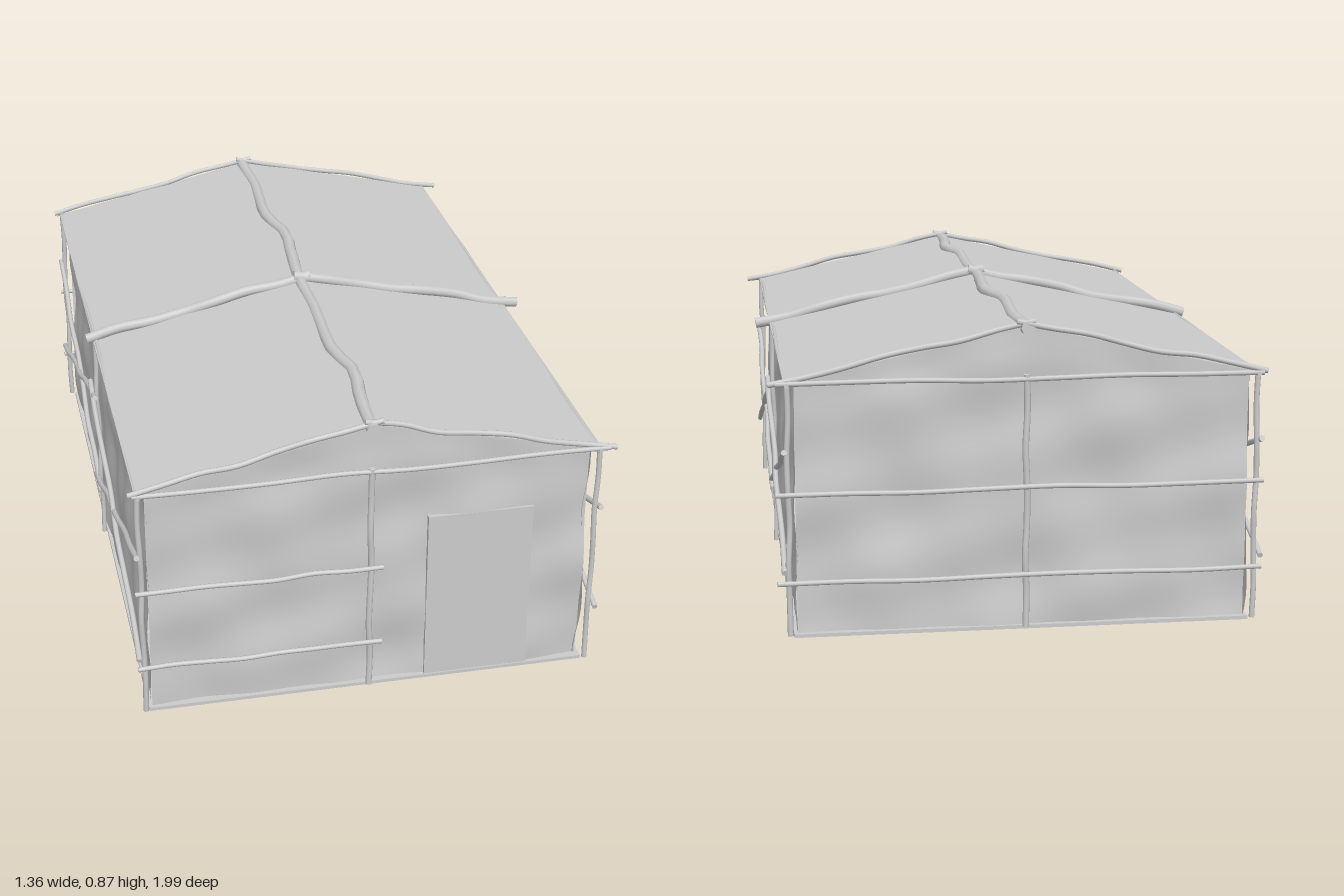
import * as THREE from 'three';

const CX = -0.012;                 // ridge line, slightly off centre
const EAVE = 0.70, RIDGE = 0.842, HALF = 0.645;
const WX = 0.618, WZ = 0.95;       // wall half sizes

const grey = new THREE.MeshStandardMaterial({ color: 0xcccccc, side: THREE.DoubleSide });

const roofY = x => RIDGE - (RIDGE - EAVE) * Math.abs(x - CX) / HALF;
const bump = (u, v, s) => 0.006 * (Math.sin(u * 11 + s) * Math.cos(v * 14 + s * 2)
  + 0.6 * Math.sin(u * 23 + v * 9 + s * 3) + 0.5 * Math.cos(v * 27 - u * 6 + s));

export function createModel() {
  const model = new THREE.Group();
  const add = (name, geometry, parent = model) => {
    const mesh = new THREE.Mesh(geometry, grey);
    mesh.name = name;
    parent.add(mesh);
    return mesh;
  };

  // Pole through points, slightly crooked, closed at both ends
  let seed = 0;
  function pole(name, pts, r, wobble = 0.003) {
    seed += 1.7;
    const path = [];
    const raw = pts.map(p => new THREE.Vector3(...p));
    for (let i = 0; i < raw.length - 1; i++) {
      const n = raw.length > 2 ? 2 : 7;
      for (let k = i ? 1 : 0; k <= n; k++) {
        const p = raw[i].clone().lerp(raw[i + 1], k / n);
        if (k > 0 && k < n) {
          p.x += wobble * Math.sin(seed + k * 2.1);
          p.y += wobble * Math.sin(seed * 2 + k * 1.7);
          p.z += wobble * Math.cos(seed + k * 2.6);
        }
        path.push(p);
      }
    }
    const curve = new THREE.CatmullRomCurve3(path);
    const group = new THREE.Group();
    group.name = name;
    model.add(group);
    add(name + 'Shaft', new THREE.TubeGeometry(curve, 28, r, 8), group);
    for (const t of [0, 1]) {
      const cap = add(name + 'End', new THREE.CircleGeometry(r, 8), group);
      cap.position.copy(curve.getPointAt(t));
      const dir = curve.getTangentAt(t).multiplyScalar(t ? 1 : -1);
      cap.quaternion.setFromUnitVectors(new THREE.Vector3(0, 0, 1), dir);
    }
  }

  // Floor slab
  add('floor', new THREE.BoxGeometry(2 * WX + 0.02, 0.01, 2 * WZ + 0.03)).position.set(CX, 0.005, 0);

  // Uneven end walls, topped by the gable
  for (const s of [1, -1]) {
    const g = new THREE.PlaneGeometry(2 * WX, 1, 40, 28);
    const p = g.attributes.position;
    for (let i = 0; i < p.count; i++) {
      const x = p.getX(i), v = p.getY(i) + 0.5;
      const y = v * (roofY(x * s + CX) - 0.004);
      const fade = Math.min(1, (1 - v) * 8);
      p.setXYZ(i, x, y, bump(x, y, s) * fade);
    }
    g.computeVertexNormals();
    const wall = add(s > 0 ? 'frontWall' : 'backWall', g);
    wall.position.set(CX, 0, s * WZ);
    wall.rotation.y = s > 0 ? 0 : Math.PI;
  }

  // Uneven side walls
  for (const s of [1, -1]) {
    const g = new THREE.PlaneGeometry(2 * WZ, EAVE, 56, 22);
    g.translate(0, EAVE / 2, 0);
    const p = g.attributes.position;
    for (let i = 0; i < p.count; i++) p.setZ(i, bump(p.getX(i), p.getY(i), s * 2 + 1));
    g.computeVertexNormals();
    const wall = add(s > 0 ? 'leftWall' : 'rightWall', g);
    wall.position.set(CX + s * WX, 0, 0);
    wall.rotation.y = s * Math.PI / 2;
  }

  // Door panel
  add('door', new THREE.BoxGeometry(0.30, 0.53, 0.02)).position.set(0.30, 0.265, WZ + 0.001);

  // Thin pitched roof
  const roof = new THREE.Shape();
  roof.moveTo(CX - HALF, EAVE);
  roof.lineTo(CX, RIDGE);
  roof.lineTo(CX + HALF, EAVE);
  roof.lineTo(CX + HALF, EAVE - 0.005);
  roof.lineTo(CX, RIDGE - 0.005);
  roof.lineTo(CX - HALF, EAVE - 0.005);
  add('roof', new THREE.ExtrudeGeometry(roof, { depth: 1.94, bevelEnabled: false })).position.z = -0.97;

  // Crooked ridge log
  pole('ridgeLog', [[-0.017, 0.835, 0.99], [-0.012, 0.837, 0.82], [0.008, 0.84, 0.66], [-0.022, 0.836, 0.5],
    [-0.012, 0.832, 0.2], [-0.016, 0.836, 0], [-0.005, 0.838, -0.15], [0.01, 0.84, -0.32], [-0.023, 0.837, -0.5],
    [-0.008, 0.833, -0.78], [-0.017, 0.836, -0.98]], 0.019, 0.002);

  // Rafters: a thick pair over the middle, thin pairs at the ends
  for (const [z, r, lift] of [[0.022, 0.016, 0.008], [0.972, 0.008, 0.008], [-0.972, 0.008, 0.008]]) {
    for (const s of [1, -1]) {
      const end = s > 0 ? 0.675 : -0.675;
      pole('rafter', [[CX - s * 0.025, RIDGE + lift + 0.004, z], [end, roofY(end) + lift, z]], r, 0.005);
    }
  }

  // Posts
  const sideX = s => CX + s * 0.638;
  for (const s of [1, -1]) {
    for (const z of [0.97, 0, -0.97]) {
      const top = z ? 0.71 : 0.70;
      pole('sidePost', [[sideX(s), 0.008, z], [sideX(s), top, z]], z ? 0.008 : 0.007);
    }
    pole('endPost', [[-0.015, 0.008, s * 0.972], [-0.015, 0.71, s * 0.972]], 0.009);
    // Tie beams across the ends and poles along the eaves
    pole('tieBeam', [[-0.665, 0.70, s * 0.975], [0.655, 0.70, s * 0.975]], 0.007);
    pole('eavePole', [[sideX(s), 0.697, 0.985], [sideX(s), 0.697, -0.985]], 0.006);
  }

  // Rails: half width beside the door, full width at the back
  for (const y of [0.402, 0.158]) {
    pole('frontRail', [[-0.668, y, 0.985], [0.018, y, 0.985]], 0.007);
    pole('backRail', [[-0.668, y, -0.985], [0.66, y, -0.985]], 0.007);
  }

  // Crossed braces on both bays of each side
  for (const s of [1, -1]) {
    for (const bay of [1, -1]) {
      const x = sideX(s) + s * 0.01;
      pole('brace', [[x, 0.52, bay * 0.99], [x, 0.19, bay * -0.06]], 0.008);
      pole('brace', [[x + s * 0.004, 0.19, bay * 0.99], [x + s * 0.004, 0.52, bay * -0.06]], 0.008);
    }
  }

  return model;
}
